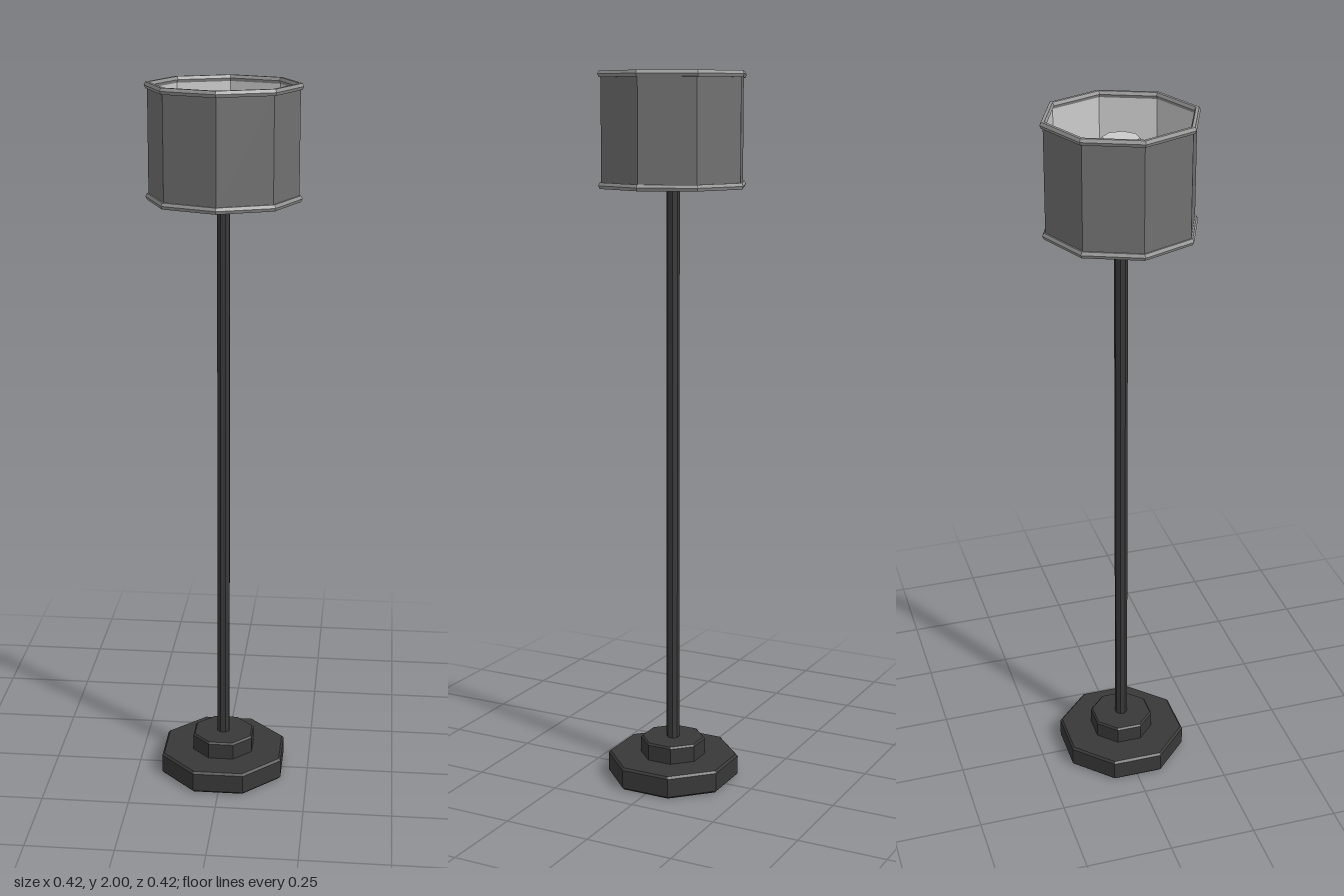
import * as THREE from 'three';

const SIDES = 8;
const mat = (color, side = THREE.FrontSide) =>
  new THREE.MeshStandardMaterial({ color, side, flatShading: true });

export function createModel() {
  const lamp = new THREE.Group();
  lamp.name = 'floorLamp';

  const dark = mat(0x383838);
  const shadeGrey = mat(0x707070);
  const trimGrey = mat(0x969696);
  const light = mat(0xcccccc);
  const lining = mat(0xcccccc, THREE.BackSide);

  const add = (name, geometry, material, y = 0) => {
    const mesh = new THREE.Mesh(geometry, material);
    mesh.name = name;
    mesh.position.y = y;
    lamp.add(mesh);
    return mesh;
  };

  // Solid octagonal block with chamfered rims, flat sides facing the axes
  const block = (name, apothem, y0, y1, bevel, material) => {
    const r = apothem / Math.cos(Math.PI / SIDES);
    const profile = [
      [0, y0], [r - bevel, y0], [r, y0 + bevel],
      [r, y1 - bevel], [r - bevel, y1], [0, y1],
    ].map(([x, y]) => new THREE.Vector2(x, y));
    const geometry = new THREE.LatheGeometry(profile, SIDES);
    geometry.rotateY(Math.PI / SIDES);
    return add(name, geometry, material);
  };

  // Stepped foot and pole
  block('base', 0.174, 0, 0.065, 0.006, dark);
  block('baseCollar', 0.086, 0.06, 0.115, 0.005, dark);
  block('pole', 0.017, 0.11, 1.75, 0.001, dark);

  // Cross bar that carries the shade, socket and bulb
  add('shadeBar', new THREE.BoxGeometry(0.032, 0.024, 0.37), dark, 1.722);
  block('socket', 0.034, 1.745, 1.8, 0.004, dark);
  block('bulb', 0.048, 1.8, 1.94, 0.004, light);

  // Octagonal shade, corners on the axes, with a light inner lining
  const y0 = 1.69, y1 = 2, tube = 0.0085, radius = 0.202;
  const wall = (r) => new THREE.CylinderGeometry(r, r, y1 - y0 - 2 * tube, SIDES, 1, true);
  add('shade', wall(radius), shadeGrey, (y0 + y1) / 2);
  add('shadeLining', wall(radius - 0.004), lining, (y0 + y1) / 2);

  // Rims around both openings
  for (const [name, y] of [['bottomRim', y0 + tube], ['topRim', y1 - tube]]) {
    const rim = new THREE.TorusGeometry(radius, tube, 6, SIDES);
    rim.rotateX(Math.PI / 2);
    // stretch the hexagonal section to reach the full rim height
    rim.scale(1, 2 / Math.sqrt(3), 1);
    add(name, rim, trimGrey, y);
  }

  return lamp;
}
